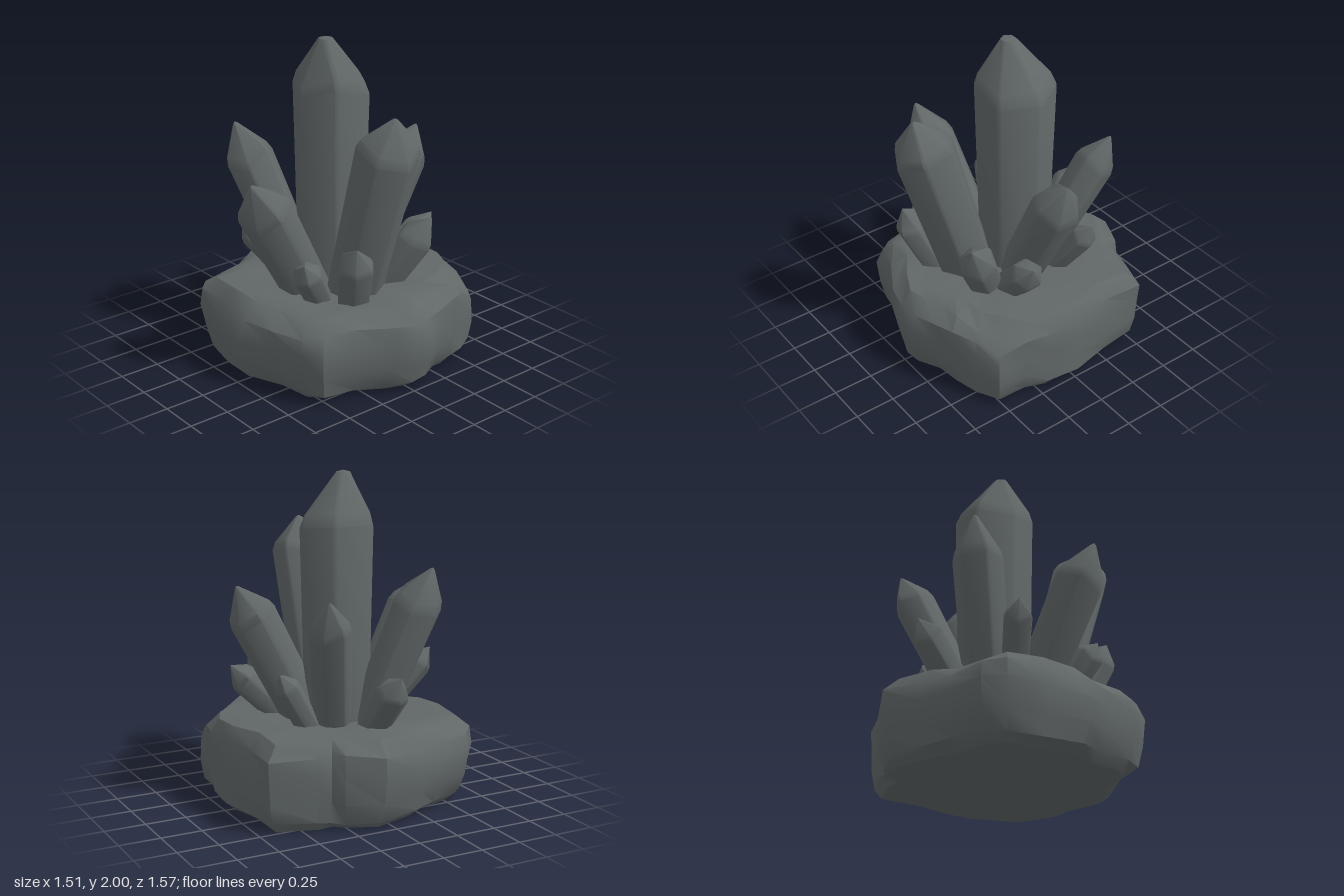
import * as THREE from 'three';
import { toCreasedNormals } from 'three/addons/utils/BufferGeometryUtils.js';

const stone = new THREE.MeshStandardMaterial({ color: 0x616767 });
stone.name = 'slate grey';

// Closed skin over rings of equal point count, listed bottom to top (points run from +x towards +z)
function skin(rings, bottom, top, crease) {
  const n = rings[0].length;
  const pos = [];
  const tri = (...p) => p.forEach(v => pos.push(v.x, v.y, v.z));
  for (let i = 0; i < n; i++) {
    const j = (i + 1) % n;
    for (let k = 0; k + 1 < rings.length; k++) {
      const a = rings[k], b = rings[k + 1];
      tri(a[i], b[i], b[j]);
      tri(a[i], b[j], a[j]);
    }
    const last = rings[rings.length - 1];
    tri(bottom, rings[0][i], rings[0][j]);
    tri(top, last[j], last[i]);
  }
  const g = new THREE.BufferGeometry();
  g.setAttribute('position', new THREE.Float32BufferAttribute(pos, 3));
  return toCreasedNormals(g, crease);
}

// Hexagonal prism with softened corners, tapered foot and a slightly uneven pointed cap
function crystal(name, base, tip, r, cap, phase = 0, lean = [0, 0], blunt = 0.1) {
  const foot = new THREE.Vector3(...base), end = new THREE.Vector3(...tip);
  const dir = end.clone().sub(foot);
  const len = dir.length();
  dir.normalize();
  const ring = (y, radius, wobble, dx = 0, dz = 0) => {
    const pts = [];
    for (let i = 0; i < 6; i++) {
      for (const s of [-0.06, 0.06]) {
        const a = phase + i * Math.PI / 3 + s;
        const up = wobble * Math.sin(i * 2.4 + r * 40);
        pts.push(new THREE.Vector3(Math.cos(a) * radius + dx, y + up, Math.sin(a) * radius + dz));
      }
    }
    return pts;
  };
  const rings = [
    ring(-0.15, r * 0.88, 0),
    ring(len - cap, r, cap * 0.12),
    ring(len - cap * 0.77, r * 0.89, cap * 0.1, lean[0] * 0.15, lean[1] * 0.15),
    ring(len - 0.012, r * blunt, 0, lean[0], lean[1]),
  ];
  const g = skin(rings, new THREE.Vector3(0, -0.15, 0), new THREE.Vector3(lean[0], len, lean[1]), 0.55);
  const mesh = new THREE.Mesh(g, stone);
  mesh.name = name;
  mesh.position.copy(foot);
  mesh.quaternion.setFromUnitVectors(new THREE.Vector3(0, 1, 0), dir);
  return mesh;
}

// Chunky rock: an outline seen from above, scaled through several heights
function rockBase() {
  const outline = [
    [0.76, -0.02], [0.75, 0.2], [0.72, 0.35], [0.69, 0.53], [0.55, 0.6], [0.41, 0.67], [0.27, 0.71],
    [0.12, 0.77], [0, 0.78], [-0.15, 0.73], [-0.36, 0.63], [-0.56, 0.585], [-0.63, 0.47], [-0.68, 0.24],
    [-0.76, 0.05], [-0.73, -0.2], [-0.7, -0.45], [-0.61, -0.56], [-0.37, -0.63], [-0.2, -0.7],
    [0.09, -0.79], [0.31, -0.7], [0.36, -0.63], [0.45, -0.62], [0.71, -0.53], [0.72, -0.28],
  ];
  // height, scale, roughness of scale, roughness of height, extra scale towards +x
  const levels = [
    [0, 0.83, 0.02, 0, 0.09], [0.05, 0.92, 0.02, 0.01, 0.07], [0.17, 0.97, 0.012, 0.01, 0.02],
    [0.32, 1, 0, 0.02, -0.02], [0.44, 0.965, 0.02, 0.02, 0.02], [0.52, 0.85, 0.03, 0.02, 0.07],
    [0.535, 0.72, 0.04, 0.012, 0.03], [0.515, 0.45, 0.02, 0.01, 0],
  ];
  const rings = levels.map(([h, s, rs, rh, side], k) => outline.map(([x, z], i) => {
    const f = s + rs * Math.sin(i * 1.7 + k * 1.3) + side * Math.max(0, x);
    const y = h + rh * Math.sin(i * 1.1 + k * 0.8) + (k > 3 ? 0.02 * x : 0);
    // Broken-off slope at the front left corner
    const slope = 0.53 - Math.max(0, (0.75 * x + 0.65 * z) * f - 0.67);
    return new THREE.Vector3(x * f, Math.min(y, slope), z * f);
  }));
  const g = skin(rings, new THREE.Vector3(0, 0, 0), new THREE.Vector3(0, 0.5, 0), 0.62);
  const mesh = new THREE.Mesh(g, stone);
  mesh.name = 'rockBase';
  return mesh;
}

export function createModel() {
  const group = new THREE.Group();
  group.name = 'crystalCluster';
  const H = Math.PI / 6;
  group.add(
    rockBase(),
    // Tall centre crystal
    crystal('mainCrystal', [0.03, 0.5, -0.073], [0.033, 2, -0.073], 0.24, 0.32, 0, [-0.05, 0.015], 0.19),
    // Large ring
    crystal('frontCrystal', [-0.035, 0.5, 0.24], [-0.04, 1.66, 0.59], 0.19, 0.23, H),
    crystal('rightCrystal', [-0.25, 0.5, 0.03], [-0.72, 1.29, 0.14], 0.16, 0.24, H),
    crystal('leftCrystal', [0.2, 0.5, 0.01], [0.645, 1.35, 0.02], 0.147, 0.22, H),
    crystal('backRightCrystal', [-0.11, 0.5, -0.21], [-0.39, 1.45, -0.475], 0.15, 0.25, 0.2),
    crystal('backLeftCrystal', [0.13, 0.5, -0.2], [0.335, 1.32, -0.56], 0.125, 0.2, 0.3),
    // Small outer shards
    crystal('backShard', [-0.05, 0.5, -0.37], [-0.075, 0.86, -0.66], 0.1, 0.14, H),
    crystal('backLeftShard', [0.28, 0.5, -0.19], [0.52, 0.87, -0.29], 0.08, 0.11),
    crystal('leftShard', [0.28, 0.5, 0.16], [0.605, 0.83, 0.22], 0.1, 0.13, H),
    crystal('frontLeftShard', [0.19, 0.5, 0.26], [0.36, 0.93, 0.48], 0.115, 0.18, 0.4),
    crystal('frontRightShard', [-0.165, 0.5, 0.38], [-0.275, 0.91, 0.545], 0.11, 0.14, 0.2),
    crystal('rightFrontShard', [-0.29, 0.5, 0.2], [-0.485, 0.79, 0.32], 0.09, 0.1, 0.1),
    crystal('rightBackShard', [-0.22, 0.5, -0.1], [-0.515, 0.92, -0.25], 0.09, 0.12, H),
  );
  return group;
}
